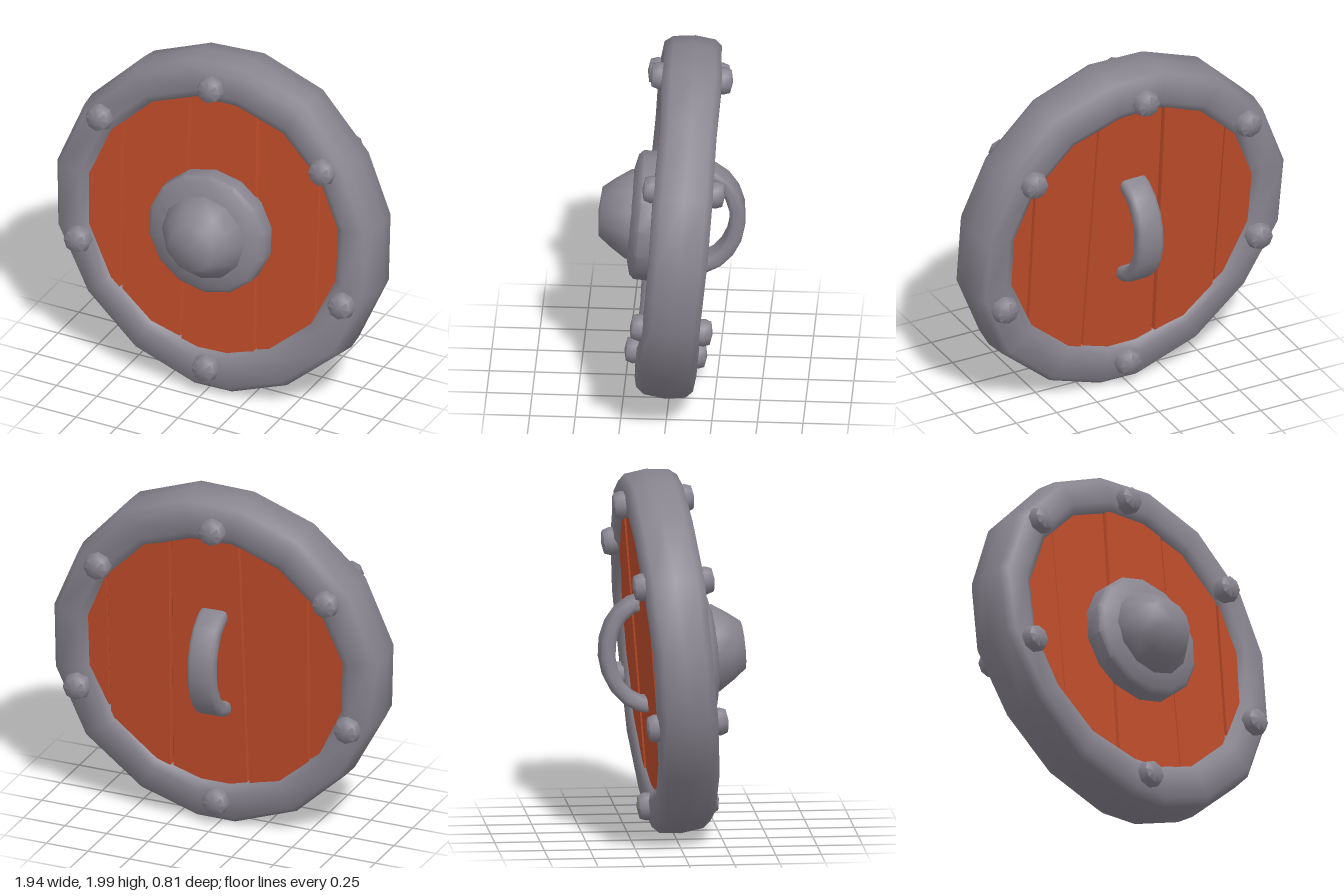
import * as THREE from 'three';
import { toCreasedNormals } from 'three/addons/utils/BufferGeometryUtils.js';

const iron = new THREE.MeshStandardMaterial({ color: 0x88848f });
iron.name = 'iron grey';
const wood = new THREE.MeshStandardMaterial({ color: 0xbd4b29 });
wood.name = 'red brown wood';

function part(name, geometry, material, crease = 0.7) {
  const mesh = new THREE.Mesh(toCreasedNormals(geometry, crease), material);
  mesh.name = name;
  return mesh;
}

// Hand-hewn outer outline of the rim, counter-clockwise, about the shield centre
const OUTLINE = [
  [0.15, 1.0], [-0.17, 0.99], [-0.52, 0.85], [-0.82, 0.55], [-0.975, 0.16], [-0.95, -0.23],
  [-0.75, -0.59], [-0.45, -0.87], [-0.08, -1.0], [0.15, -1.0], [0.48, -0.88], [0.8, -0.6],
  [0.97, -0.2], [0.96, 0.2], [0.81, 0.55], [0.52, 0.87],
];

// Rim cross-section: [0 = inner edge, 1 = outer edge], depth
const SECTION = [
  [0, 0.1], [0.05, 0.14], [0.25, 0.168], [0.8, 0.165], [0.94, 0.12], [1, 0],
  [0.94, -0.115], [0.8, -0.152], [0.25, -0.155], [0.05, -0.13], [0, -0.09],
];

function rimGeometry() {
  const pos = [], index = [], n = OUTLINE.length, m = SECTION.length;
  OUTLINE.forEach(([x, y], i) => {
    const a = Math.atan2(y, x);
    const ix = 0.755 * Math.cos(a), iy = 0.755 * Math.sin(a) + 0.01;
    SECTION.forEach(([t, z], j) => {
      const wobble = 0.005 * Math.sin(i * 2.3 + Math.sign(z) * 1.1);
      pos.push(ix + (x - ix) * t, iy + (y - iy) * t, z + wobble);
      const i2 = (i + 1) % n, j2 = (j + 1) % m;
      const p = i * m + j, q = i * m + j2, r = i2 * m + j2, s = i2 * m + j;
      index.push(p, q, r, p, r, s);
    });
  });
  const g = new THREE.BufferGeometry();
  g.setAttribute('position', new THREE.Float32BufferAttribute(pos, 3));
  g.setIndex(index);
  return g;
}

// One plank: slice of the disc between two slightly slanted seams [bottom x, top x]
function plankGeometry(left, right) {
  const R = 0.8, steps = 8, pts = [];
  const edge = (k, t, sign) => {
    const x = left[k] + (right[k] - left[k]) * t;
    pts.push(new THREE.Vector2(x, sign * Math.sqrt(R * R - x * x)));
  };
  for (let i = 0; i <= steps; i++) edge(0, i / steps, -1);
  for (let i = steps; i >= 0; i--) edge(1, i / steps, 1);
  const depth = 0.22, bevel = 0.02;
  const g = new THREE.ExtrudeGeometry(new THREE.Shape(pts), {
    depth, bevelEnabled: true, bevelThickness: bevel, bevelSize: 0.009,
    bevelOffset: -0.009, bevelSegments: 1,
  });
  return g.translate(0, 0.01, -depth / 2 + 0.004);
}

function latheZ(profile, sides) {
  const pts = profile.map(([r, h]) => new THREE.Vector2(r, h));
  return new THREE.LatheGeometry(pts, sides).rotateX(Math.PI / 2);
}

// Curved grip: a half-oval band drawn in (z, y), extruded sideways with soft edges
function gripGeometry() {
  const pts = [], steps = 10, width = 0.11, bevel = 0.025;
  const arc = (reach, height, sign) => {
    for (let i = 0; i <= steps; i++) {
      const a = sign * (i / steps - 0.5) * Math.PI;
      pts.push(new THREE.Vector2(-0.09 - reach * Math.cos(a), height * Math.sin(a)));
    }
  };
  arc(0.27, 0.33, -1);
  arc(0.185, 0.25, 1);
  const g = new THREE.ExtrudeGeometry(new THREE.Shape(pts), {
    depth: width, bevelEnabled: true, bevelThickness: bevel, bevelSize: bevel,
    bevelOffset: -bevel, bevelSegments: 2,
  });
  return g.translate(0, 0, -width / 2).rotateY(-Math.PI / 2);
}

export function createModel() {
  const model = new THREE.Group();
  model.name = 'roundShield';

  // The whole shield leans back a little
  const shield = new THREE.Group();
  shield.name = 'leaningShield';
  shield.position.set(0, 1, -0.045);
  shield.rotation.set(-0.083, 0.035, 0);
  model.add(shield);

  shield.add(part('rim', rimGeometry(), iron, 1.0));

  // Planks
  const seams = [[-0.79, -0.79], [-0.54, -0.57], [-0.17, -0.17], [0.285, 0.24], [0.64, 0.63], [0.79, 0.79]];
  const planks = new THREE.Group();
  planks.name = 'planks';
  for (let i = 0; i < 5; i++) {
    const plank = part('plank', plankGeometry(seams[i], seams[i + 1]), wood, 0.5);
    plank.position.z = [0.004, -0.004, 0.005, -0.003, 0.003][i];
    planks.add(plank);
  }
  shield.add(planks);

  // Boss: flange and blunt cone-shaped dome
  const flange = part('bossFlange', latheZ(
    [[0.34, 0.08], [0.357, 0.14], [0.355, 0.225], [0.33, 0.25], [0.23, 0.275]], 14), iron, 0.75);
  const dome = part('bossDome', latheZ(
    [[0.24, 0.24], [0.247, 0.28], [0.19, 0.365], [0.135, 0.435], [0, 0.447]], 12), iron, 1.1);
  for (const p of [flange, dome]) {
    p.position.set(0.004, -0.008, 0);
    shield.add(p);
  }

  // Bolts on both faces of the rim
  const boltGeo = latheZ([[0.072, 0.12], [0.079, 0.185], [0.066, 0.222], [0, 0.234]], 8);
  const bolts = [[-0.03, 0.85], [0.66, 0.515], [0.81, -0.267], [0.01, -0.848], [-0.79, -0.257], [-0.69, 0.515]];
  for (const [x, y] of bolts) {
    for (const side of [0, 1]) {
      const bolt = part(side ? 'backBolt' : 'frontBolt', boltGeo, iron, 1.1);
      bolt.position.set(x, y, side * 0.012);
      bolt.rotation.y = side * Math.PI;
      shield.add(bolt);
    }
  }

  const grip = part('handle', gripGeometry(), iron, 0.9);
  grip.position.y = 0.01;
  shield.add(grip);

  return model;
}
